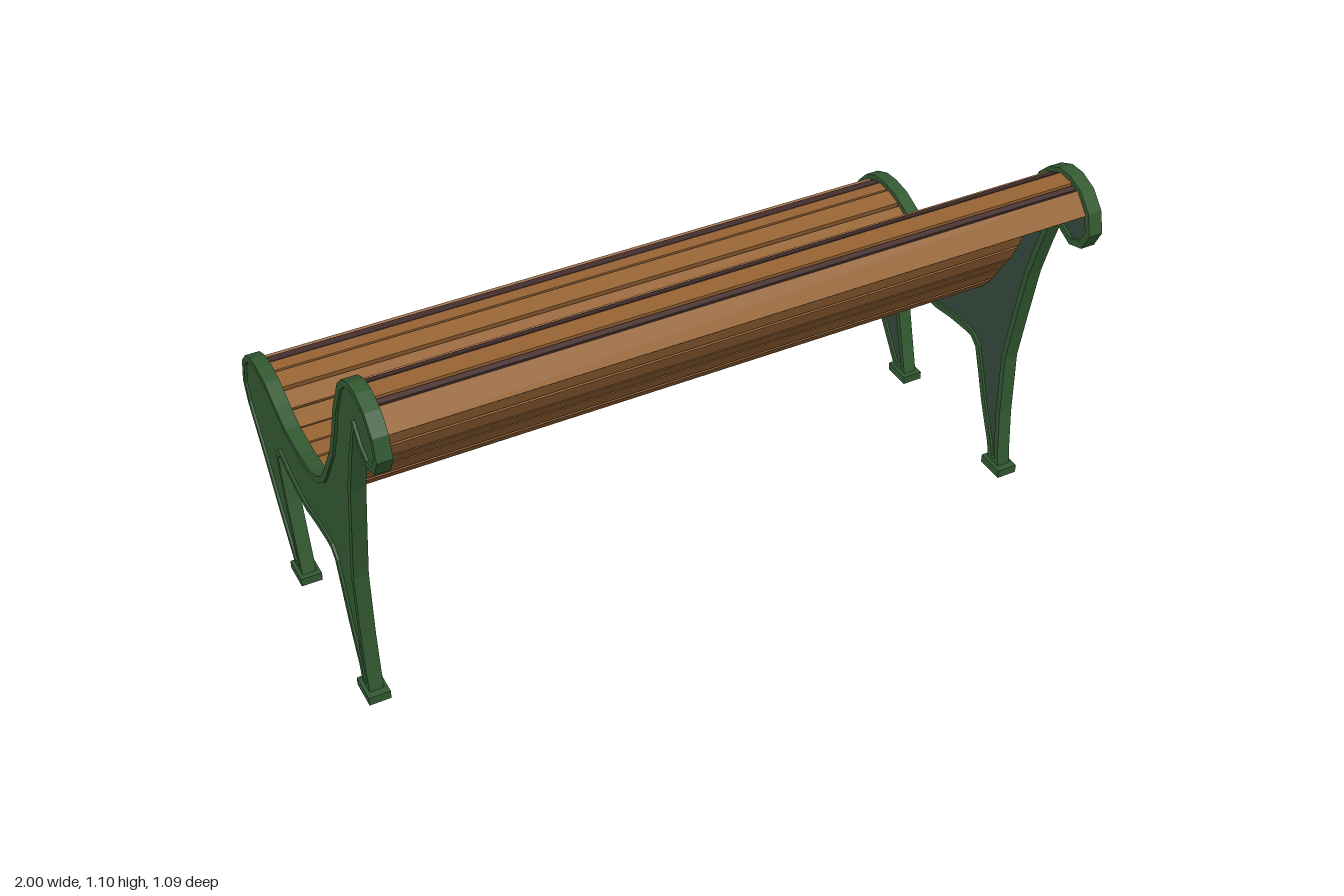
import * as THREE from 'three';

function colour(name, color) {
  const material = new THREE.MeshStandardMaterial({ color });
  material.name = name;
  return material;
}
const green = colour('paintedIron', 0x335a32);
const slate = colour('dullIron', 0x364b3f);
const wood = colour('wood', 0x976434);
const darkWood = colour('darkWood', 0x483231);

// Side frame outline as (z, y); the bench opens towards -z.
const scroll = [[0.4, 0.963], [0.42, 0.93], [0.47, 0.905], [0.52, 0.92], [0.545, 0.97]];
const sweep = [
  [0.53, 1.03], [0.49, 1.075], [0.44, 1.095], [0.395, 1.095], [0.35, 1.075], [0.315, 1.04],
  [0.285, 0.98], [0.26, 0.93], [0.23, 0.84], [0.195, 0.755], [0.155, 0.69], [0.125, 0.64],
  [0.095, 0.6], [0.05, 0.565], [0, 0.545], [-0.08, 0.54], [-0.18, 0.547], [-0.25, 0.572],
  [-0.32, 0.603], [-0.38, 0.612], [-0.43, 0.609], [-0.48, 0.588], [-0.52, 0.545], [-0.54, 0.465],
];
const legs = [
  [-0.52, 0.405], [-0.435, 0.285], [-0.35, 0.15], [-0.26, 0.02], [-0.2, 0.02], [-0.225, 0.11],
  [-0.26, 0.24], [-0.28, 0.34], [-0.285, 0.38], [-0.27, 0.395], [-0.21, 0.375], [-0.135, 0.36],
  [-0.08, 0.355], [0, 0.367], [0.08, 0.372], [0.105, 0.37], [0.13, 0.35], [0.155, 0.28],
  [0.185, 0.19], [0.21, 0.13], [0.235, 0.07], [0.245, 0.02], [0.295, 0.02], [0.285, 0.09],
  [0.275, 0.2], [0.27, 0.4], [0.295, 0.55], [0.325, 0.72], [0.36, 0.84],
];
const toPoints = (list) => list.map(([z, y]) => new THREE.Vector2(z, y));

// Moves a counter-clockwise outline inwards by d, limiting sharp corners.
function inset(points, d, closed = true) {
  const n = points.length;
  return points.map((p, i) => {
    const a = points[closed ? (i + n - 1) % n : Math.max(i - 1, 0)];
    const b = points[closed ? (i + 1) % n : Math.min(i + 1, n - 1)];
    const t1 = (a === p ? b.clone().sub(p) : p.clone().sub(a)).normalize();
    const t2 = (b === p ? p.clone().sub(a) : b.clone().sub(p)).normalize();
    const normal = new THREE.Vector2(-t1.y - t2.y, t1.x + t2.x).normalize();
    const cos = Math.max(0.7, -normal.x * t1.y + normal.y * t1.x);
    return p.clone().addScaledVector(normal, d / cos);
  });
}

// Extrudes a (z, y) shape along x, centred on x = 0.
function plate(shape, thickness) {
  const geometry = new THREE.ExtrudeGeometry(shape, { depth: thickness, bevelEnabled: false });
  geometry.translate(0, 0, -thickness / 2);
  geometry.rotateY(-Math.PI / 2);
  return geometry;
}

function addMesh(parent, name, geometry, material, x = 0, y = 0, z = 0) {
  const mesh = new THREE.Mesh(geometry, material);
  mesh.name = name;
  mesh.position.set(x, y, z);
  parent.add(mesh);
  return mesh;
}

export function createModel() {
  const bench = new THREE.Group();
  bench.name = 'bench';

  // Cast side frames: a raised rim around a recessed panel
  const outline = toPoints([...scroll, ...sweep, ...legs]);
  const rimShape = new THREE.Shape(outline);
  rimShape.holes.push(new THREE.Path(inset(outline, 0.018)));
  const rimGeometry = plate(rimShape, 0.04);
  const panelGeometry = plate(new THREE.Shape(inset(outline, 0.013)), 0.013);
  const footGeometry = new THREE.BoxGeometry(0.06, 0.025, 0.085);
  // Dull patches low on the legs
  const backPatch = plate(new THREE.Shape(toPoints(
    [[0.27, 0.04], [0.262, 0.12], [0.25, 0.165], [0.235, 0.15], [0.237, 0.1], [0.256, 0.04]])), 0.004);
  const frontPatch = plate(new THREE.Shape(toPoints(
    [[-0.228, 0.035], [-0.238, 0.085], [-0.255, 0.1], [-0.268, 0.085], [-0.26, 0.055], [-0.245, 0.035]])), 0.004);

  for (const side of [1, -1]) {
    const frame = new THREE.Group();
    frame.name = side > 0 ? 'leftFrame' : 'rightFrame';
    frame.position.x = side * 0.97;
    bench.add(frame);
    addMesh(frame, 'frameRim', rimGeometry, green);
    addMesh(frame, 'outerPanel', panelGeometry, green, side * 0.0065);
    addMesh(frame, 'innerPanel', panelGeometry, slate, side * -0.0065);
    addMesh(frame, 'backLegPatch', backPatch, slate, side * 0.014);
    addMesh(frame, 'frontLegPatch', frontPatch, slate, side * 0.014);
    addMesh(frame, 'backFoot', footGeometry, green, 0, 0.0125, 0.272);
    addMesh(frame, 'frontFoot', footGeometry, green, 0, 0.0125, -0.228);
  }

  // Slats along the upper edge: [distance along the sweep, width, material, stained length]
  const path = new THREE.SplineCurve(inset(toPoints([...sweep, legs[0]]), 0.028, false));
  path.arcLengthDivisions = 400;
  const length = path.getLength();
  const layout = [
    [0.033, 0.068, wood], [0.073, 0.014, darkWood], [0.107, 0.05, wood], [0.15, 0.032, darkWood],
  ];
  for (let i = 0; i < 17; i++) layout.push([0.198 + i * 0.062, 0.055, wood]);
  layout.push(
    [1.242, 0.038, wood], [1.277, 0.034, darkWood],
    [1.334, 0.056, wood, 0.07], [1.412, 0.052, wood, 0.2],
  );

  const slats = new THREE.Group();
  slats.name = 'slats';
  bench.add(slats);
  layout.forEach(([distance, width, material, stain], i) => {
    const p = path.getPointAt(distance / length);
    const t = path.getTangentAt(distance / length);
    const geometry = new THREE.BoxGeometry(1.92, 0.036, width);
    geometry.translate(0, 0.005, 0);
    const slat = addMesh(slats, 'slat' + (i + 1), geometry, material, 0, p.y, p.x);
    slat.rotation.x = Math.atan2(-t.y, t.x);
    // Dark stains under the ends of the front slats
    if (stain) {
      const stainGeometry = new THREE.BoxGeometry(stain, 0.004, width - 0.002);
      for (const side of [1, -1]) {
        addMesh(slat, 'slatStain', stainGeometry, darkWood, side * (0.95 - stain / 2), 0.0235, 0);
      }
    }
  });
  return bench;
}
